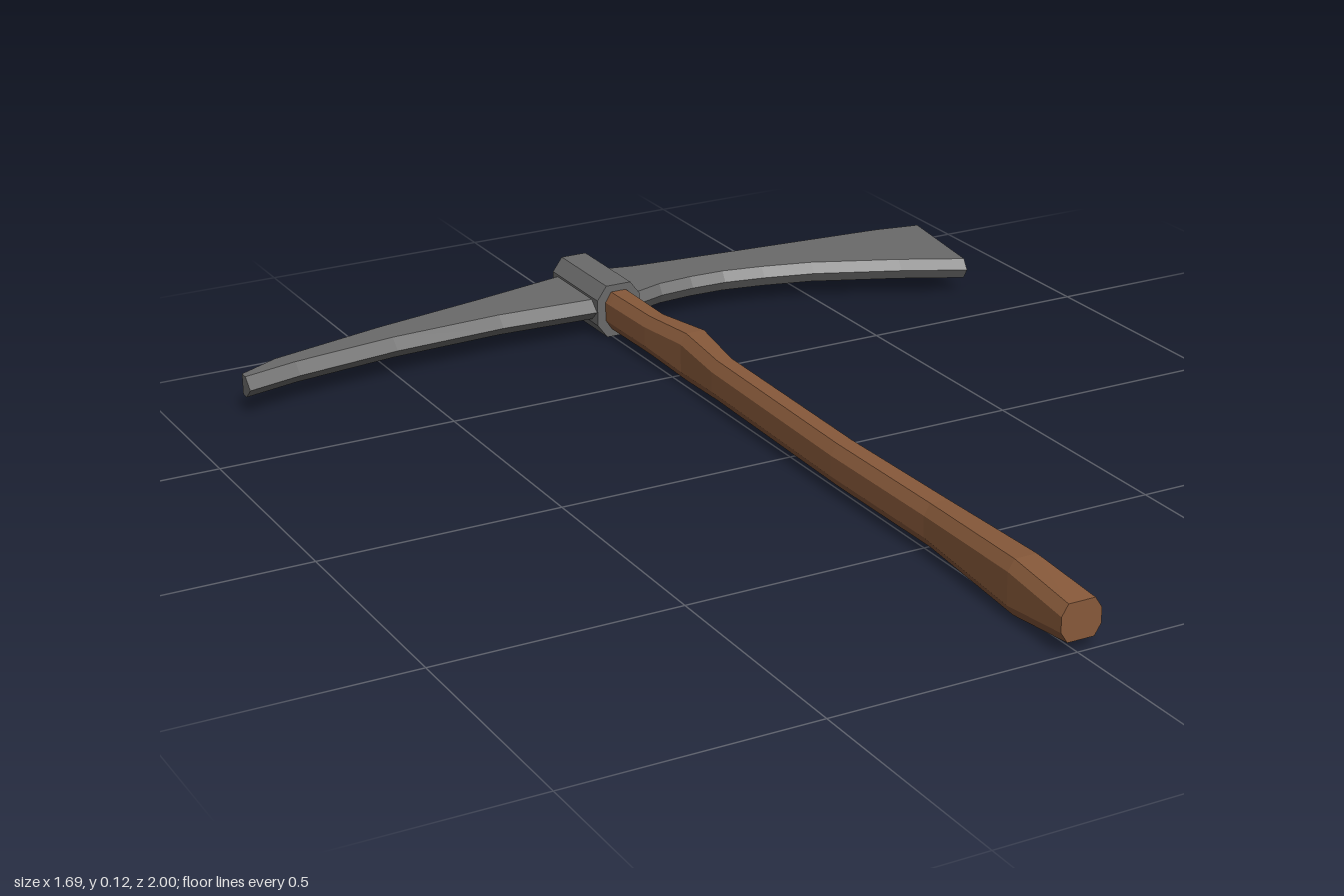
import * as THREE from 'three';

const metal = new THREE.MeshStandardMaterial({ color: 0x6a6a6a, flatShading: true });
metal.name = 'grey metal';
const wood = new THREE.MeshStandardMaterial({ color: 0x87593a, flatShading: true });
wood.name = 'brown wood';

// Faceted solid through a row of convex rings, capped at both ends
function loft(name, rings, material) {
  const pos = [];
  const tri = (a, b, c) => pos.push(...a, ...b, ...c);
  const n = rings[0].length;
  for (let i = 0; i < rings.length - 1; i++) {
    for (let j = 0; j < n; j++) {
      const k = (j + 1) % n;
      tri(rings[i][j], rings[i][k], rings[i + 1][k]);
      tri(rings[i][j], rings[i + 1][k], rings[i + 1][j]);
    }
  }
  const first = rings[0], last = rings[rings.length - 1];
  for (let j = 1; j < n - 1; j++) {
    tri(first[0], first[j + 1], first[j]);
    tri(last[0], last[j], last[j + 1]);
  }
  const geo = new THREE.BufferGeometry();
  geo.setAttribute('position', new THREE.Float32BufferAttribute(pos, 3));
  geo.computeVertexNormals();
  const mesh = new THREE.Mesh(geo, material);
  mesh.name = name;
  return mesh;
}

// Chamfered rectangle facing +z
function octagon(z, x0, x1, y0, y1, cx, cy) {
  return [
    [x0 + cx, y0, z], [x1 - cx, y0, z], [x1, y0 + cy, z], [x1, y1 - cy, z],
    [x1 - cx, y1, z], [x0 + cx, y1, z], [x0, y1 - cy, z], [x0, y0 + cy, z],
  ];
}

// Blade section: flat back, front edge bevelled to a ridge at mid height
function bladeRing([xb, zb, xf, zf], bevel) {
  const y0 = 0.04, y1 = 0.085, ym = 0.0625;
  return [
    [xf, y0, zf - bevel], [xb, y0, zb], [xb, y1, zb], [xf, y1, zf - bevel], [xf, ym, zf],
  ];
}

export function createModel() {
  const group = new THREE.Group();
  group.name = 'pickaxe';

  // Slightly crooked handle: z, x min, x max, y min, y max
  const handle = [
    [-0.95, -0.013, 0.048, 0.02, 0.105],
    [-0.76, -0.015, 0.048, 0.02, 0.105],
    [-0.6, -0.013, 0.045, 0.02, 0.106],
    [-0.45, -0.006, 0.064, 0.01, 0.115],
    [-0.3, -0.014, 0.046, 0.019, 0.106],
    [0.2, -0.025, 0.037, 0.019, 0.106],
    [0.53, -0.021, 0.045, 0.019, 0.106],
    [0.83, -0.035, 0.04, 0.008, 0.117],
    [1, -0.036, 0.048, 0.026, 0.1],
  ];
  group.add(loft('handle', handle.map(([z, x0, x1, y0, y1]) =>
    octagon(z, x0, x1, y0, y1, 0.014, 0.022)), wood));

  // Collar holding the head
  group.add(loft('collar', [-1, -0.78].map((z) =>
    octagon(z, -0.034, 0.068, 0.003, 0.12, 0.022, 0.03)), metal));

  // Blades: back x, back z, front x, front z
  const pick = [
    [-0.85, -0.762, -0.85, -0.718],
    [-0.76, -0.81, -0.73, -0.748],
    [-0.5, -0.877, -0.5, -0.781],
    [-0.25, -0.928, -0.25, -0.794],
    [-0.03, -0.978, -0.03, -0.783],
    [0.015, -0.985, 0.015, -0.783],
  ];
  group.add(loft('pickBlade', pick.map((s) => bladeRing(s, 0.025)), metal));

  const adze = [
    [0.015, -0.985, 0.015, -0.783],
    [0.066, -0.977, 0.066, -0.787],
    [0.14, -0.96, 0.14, -0.812],
    [0.22, -0.952, 0.22, -0.819],
    [0.3, -0.945, 0.3, -0.817],
    [0.4, -0.936, 0.39, -0.8],
    [0.52, -0.926, 0.5, -0.77],
    [0.74, -0.907, 0.68, -0.69],
    [0.843, -0.888, 0.81, -0.622],
  ];
  group.add(loft('adzeBlade', adze.map((s) => bladeRing(s, 0.014)), metal));

  return group;
}
